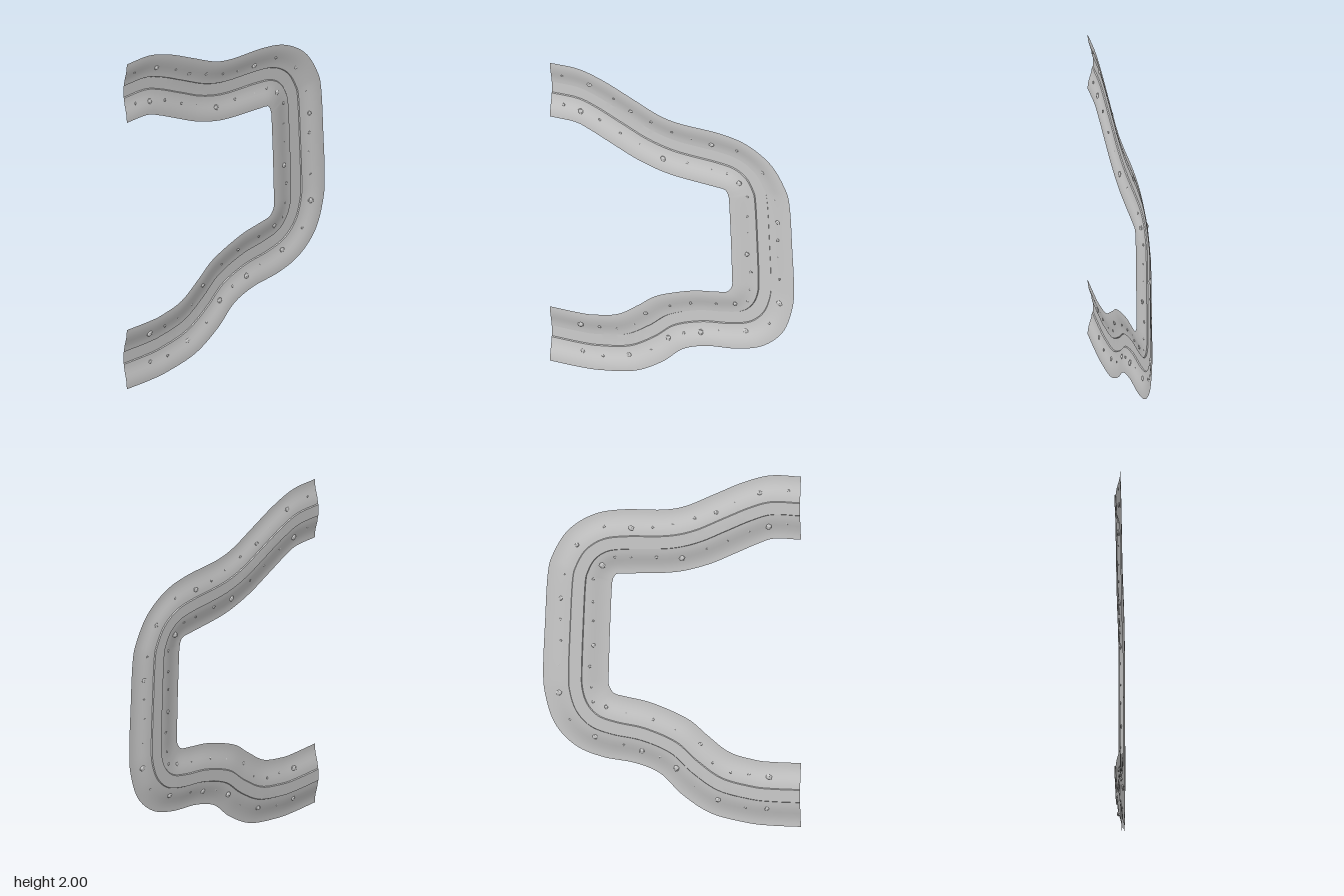
import * as THREE from 'three';
import { toCreasedNormals } from 'three/addons/utils/BufferGeometryUtils.js';

const grey = (opts = {}) => new THREE.MeshStandardMaterial({ color: 0xcccccc, ...opts });
const curve = (pts) => new THREE.CatmullRomCurve3(
  pts.map(([x, y]) => new THREE.Vector3(x, y, 0)), false, 'catmullrom', 0.5);

// The two rims of the valley; points with the same index face each other
const outerRim = curve([
  [-0.715, 2], [-0.55, 2], [-0.4, 1.955], [-0.24, 1.88], [-0.08, 1.805], [0.05, 1.778],
  [0.27, 1.77], [0.43, 1.735], [0.57, 1.64], [0.655, 1.5], [0.685, 1.38], [0.7, 1.1],
  [0.71, 0.85], [0.7, 0.7], [0.645, 0.53], [0.53, 0.41], [0.38, 0.352], [0.2, 0.325],
  [0.06, 0.27], [-0.06, 0.155], [-0.22, 0.055], [-0.42, 0.01], [-0.55, 0], [-0.715, 0]]);
const innerRim = curve([
  [-0.715, 1.64], [-0.57, 1.64], [-0.48, 1.608], [-0.35, 1.545], [-0.2, 1.475], [-0.02, 1.425],
  [0.22, 1.407], [0.295, 1.402], [0.317, 1.385], [0.325, 1.36], [0.33, 1.32], [0.34, 1.08],
  [0.347, 0.83], [0.347, 0.77], [0.335, 0.74], [0.31, 0.715], [0.24, 0.7], [0.1, 0.67],
  [-0.09, 0.59], [-0.2, 0.5], [-0.32, 0.41], [-0.46, 0.372], [-0.55, 0.364], [-0.715, 0.364]]);

// Half cross-section from rim to middle: [fraction of width, height above bed]
const half = [[0, 0.03], [0.05, 0.0297], [0.1, 0.028], [0.16, 0.024], [0.22, 0.018],
  [0.28, 0.012], [0.34, 0.008], [0.395, 0.006], [0.405, 0], [0.5, 0]];
const profile = [...half, ...half.slice(0, -1).reverse().map(([t, h]) => [1 - t, h])];

// The bed sinks gently towards the far bend
const bedZ = (x) => -0.012 - 0.014 * THREE.MathUtils.smoothstep(x, -0.9, 0.5);

function valleyPoints(steps) {
  const points = [];
  for (let i = 0; i <= steps; i++) {
    const a = outerRim.getPoint(i / steps), b = innerRim.getPoint(i / steps);
    const base = bedZ((a.x + b.x) / 2);
    for (const [t, h] of profile) {
      const p = a.clone().lerp(b, t);
      p.z = base + h;
      points.push(p);
    }
  }
  return points;
}

function valleyGeometry(points, steps) {
  const n = profile.length, index = [];
  for (let i = 0; i < steps; i++) {
    for (let j = 0; j < n - 1; j++) {
      const a = i * n + j, b = a + 1, c = a + n, d = c + 1;
      index.push(a, b, c, b, d, c);
    }
  }
  const g = new THREE.BufferGeometry().setFromPoints(points);
  g.setIndex(index);
  return toCreasedNormals(g, 0.5);
}

// Rock positions along the banks
const boulders = [
  [-0.49, 1.9], [-0.54, 1.71], [-0.25, 1.78], [-0.06, 1.51], [0.22, 1.67], [0.52, 1.56],
  [0.38, 1.45], [0.61, 1.25], [0.43, 0.99], [0.62, 0.71], [0.36, 0.64], [0.42, 0.47],
  [0.16, 0.4], [-0.16, 0.45], [-0.03, 0.31], [-0.26, 0.14], [-0.53, 0.1], [-0.54, 0.28]];
const pebbles = [
  [-0.65, 1.92], [-0.64, 1.73], [-0.35, 1.84], [-0.43, 1.68], [-0.31, 1.62], [-0.2, 1.57],
  [-0.13, 1.74], [-0.01, 1.7], [0.1, 1.68], [0.08, 1.51], [0.22, 1.5], [0.31, 1.5],
  [0.37, 1.67], [0.59, 1.39], [0.43, 1.37], [0.43, 1.24], [0.43, 1.13], [0.61, 1.13],
  [0.61, 1.01], [0.62, 0.87], [0.45, 0.87], [0.44, 0.75], [0.56, 0.56], [0.43, 0.67],
  [0.26, 0.43], [0.1, 0.58], [0.25, 0.61], [-0.02, 0.53], [0.06, 0.37], [-0.23, 0.35],
  [-0.33, 0.3], [-0.43, 0.29], [-0.13, 0.21], [-0.41, 0.1]];

export function createModel() {
  const model = new THREE.Group();
  const steps = 184;
  const points = valleyPoints(steps);

  // Winding valley with a shallow channel along its middle
  const valley = new THREE.Mesh(valleyGeometry(points, steps), grey({ side: THREE.DoubleSide }));
  valley.name = 'valley';
  model.add(valley);

  // Height of the ground at the nearest valley point
  const groundZ = (x, y) => {
    let best = Infinity, z = 0;
    for (const p of points) {
      const d = (p.x - x) ** 2 + (p.y - y) ** 2;
      if (d < best) { best = d; z = p.z; }
    }
    return z;
  };

  // Low faceted rocks, each turned and stretched a little differently
  const rockShape = new THREE.IcosahedronGeometry(1, 0);
  const rockMaterial = grey({ flatShading: true });
  const scatter = (name, spots, radius) => {
    const group = new THREE.Group();
    group.name = name;
    spots.forEach(([x, y], i) => {
      const rock = new THREE.Mesh(rockShape, rockMaterial);
      const r = radius * (1 + 0.2 * Math.sin(i * 2.3));
      rock.name = 'rock';
      rock.position.set(x, y, groundZ(x, y));
      rock.rotation.z = i * 1.7;
      rock.scale.set(r * 1.1, r * 0.9, r * 0.55);
      group.add(rock);
    });
    model.add(group);
  };
  scatter('boulders', boulders, 0.016);
  scatter('pebbles', pebbles, 0.008);
  return model;
}
